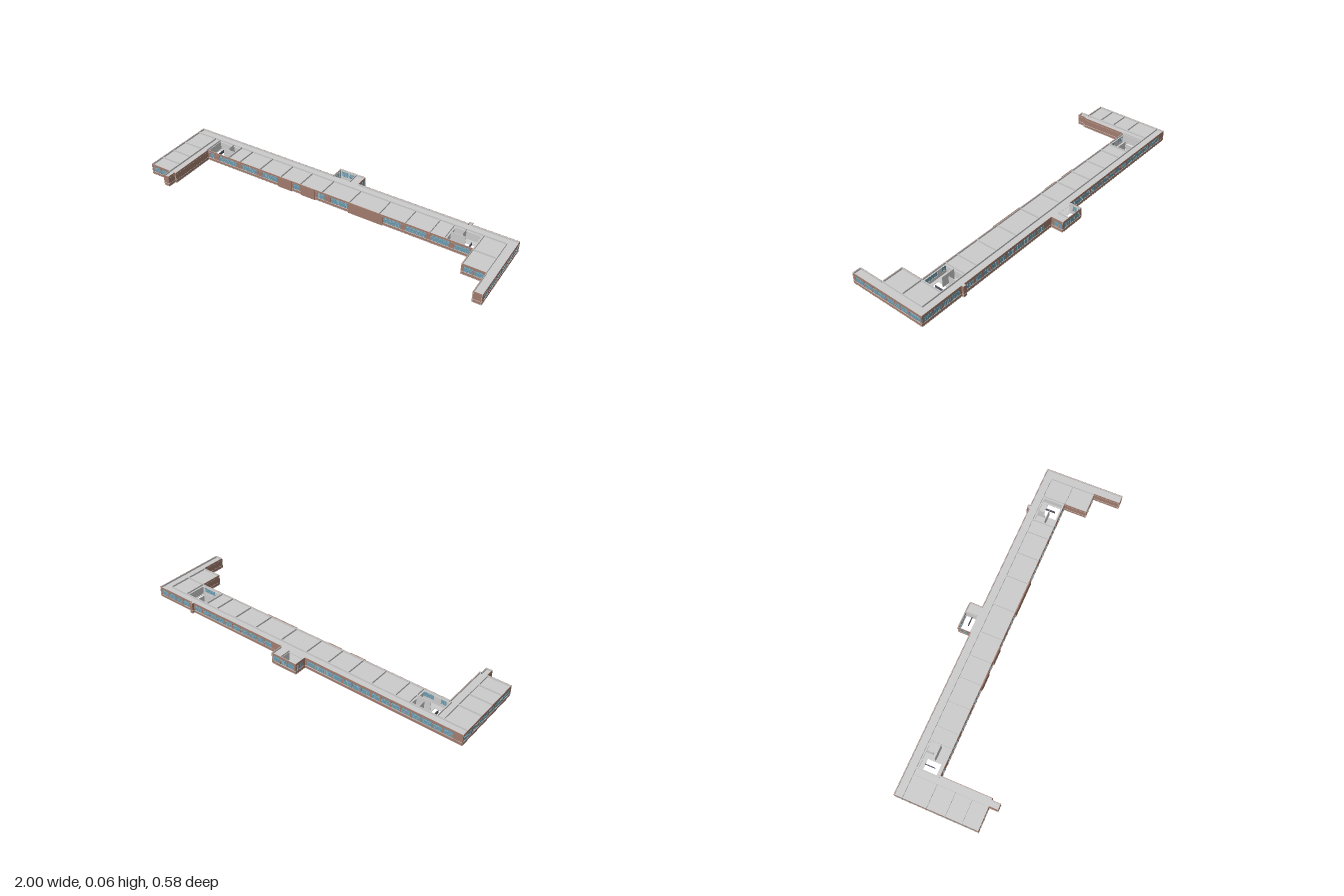
import * as THREE from 'three';
import { mergeGeometries } from 'three/addons/utils/BufferGeometryUtils.js';

const H = 0.065, SILL = 0.02, HEAD = 0.053, T = 0.004;

// Outline of the storey, counter-clockwise seen from above: [x, z]
const OUTLINE = [
  [-1, 0.24], [-0.87, 0.24], [-0.87, 0.288], [-0.835, 0.288], [-0.835, 0.24], [-0.825, 0.24],
  [-0.825, -0.04], [0.825, -0.04], [0.825, 0.09], [0.95, 0.09], [0.95, 0.24], [1, 0.24],
  [1, -0.215], [0.745, -0.215], [0.745, -0.228], [0.725, -0.228], [0.725, -0.215],
  [0.08, -0.215], [0.08, -0.288], [-0.08, -0.288], [-0.08, -0.215], [-1, -0.215],
];

// Evenly pitched windows between two distances along a wall
function row(from, to, pitch, width) {
  const list = [];
  for (let s = from; s + width <= to + 1e-6; s += pitch) list.push([s, s + width]);
  return list;
}

// Windows of each wall, keyed by the wall's index in the outline
const SIDE = [[0.02, 0.07], [0.08, 0.13], [0.135, 0.165], [0.17, 0.22], [0.23, 0.28],
  [0.285, 0.315], [0.32, 0.37], [0.38, 0.447]];
const FRONT = [[-0.81, -0.78], [-0.74, -0.62], [-0.58, -0.48], [-0.44, -0.34], [-0.23, -0.19],
  [-0.07, -0.03], [0.01, 0.11], [0.33, 0.43], [0.46, 0.57], [0.6, 0.7], [0.73, 0.81]];
const WINDOWS = {
  0: [[0.015, 0.06], [0.067, 0.115]],
  6: FRONT.map(([a, b]) => [a + 0.825, b + 0.825]),
  8: [[0.015, 0.06], [0.07, 0.115]],
  11: SIDE,
  12: row(0.015, 0.245, 0.058, 0.05),
  16: row(0.012, 0.635, 0.0575, 0.05),
  17: [[0.02, 0.045], [0.052, 0.066]],
  18: row(0.012, 0.155, 0.048, 0.04),
  19: [[0.007, 0.021], [0.028, 0.053]],
  20: row(0.012, 0.91, 0.0575, 0.05),
  21: SIDE.map(([a, b]) => [0.455 - b, 0.455 - a]),
};

function rectPath(Type, x0, y0, x1, y1) {
  return new Type([[x0, y0], [x1, y0], [x1, y1], [x0, y1]].map((p) => new THREE.Vector2(...p)));
}

export function createModel() {
  const model = new THREE.Group();
  const parts = {};
  const add = (name, geometry, matrix) => {
    const g = geometry.index ? geometry.toNonIndexed() : geometry;
    if (matrix) g.applyMatrix4(matrix);
    (parts[name] ||= []).push(g);
  };
  const box = (name, x0, y0, z0, x1, y1, z1, matrix) => {
    const g = new THREE.BoxGeometry(x1 - x0, y1 - y0, z1 - z0);
    g.translate((x0 + x1) / 2, (y0 + y1) / 2, (z0 + z1) / 2);
    add(name, g, matrix);
  };

  // Outer wall: brick skin, grey lining, trim bands and glazed openings
  function wall([ax, az], [bx, bz], windows) {
    const len = Math.hypot(bx - ax, bz - az);
    const m = new THREE.Matrix4().makeRotationY(Math.atan2(az - bz, bx - ax)).setPosition(ax, 0, az);
    const shape = rectPath(THREE.Shape, 0, 0, len, H);
    for (const [a, b] of windows) shape.holes.push(rectPath(THREE.Path, a, SILL, b, HEAD));
    for (const [name, z] of [['brickWalls', -T / 2], ['wallLining', -T]]) {
      const g = new THREE.ExtrudeGeometry(shape, { depth: T / 2, bevelEnabled: false });
      add(name, g.translate(0, 0, z), m);
    }
    box('trimBands', 0, 0.0175, -0.001, len, 0.0195, 0.0008, m);
    box('trimBands', 0, 0.002, -0.001, len, 0.0035, 0.0008, m);
    for (const [a, b] of windows) {
      box('windowGlass', a, SILL, -0.0025, b, HEAD, -0.0015, m);
      const n = Math.max(2, Math.round((b - a) / 0.01));
      for (let i = 0; i <= n; i++) {
        const x = a + 0.0004 + (b - a - 0.0008) * i / n;
        box('windowFrames', x - 0.0004, SILL, -0.003, x + 0.0004, HEAD, -0.0008, m);
      }
      for (const y of [SILL, 0.044, HEAD - 0.0008])
        box('windowFrames', a, y, -0.003, b, y + 0.0008, -0.0009, m);
    }
  }
  OUTLINE.forEach((p, i) => wall(p, OUTLINE[(i + 1) % OUTLINE.length], WINDOWS[i] || []));

  // Slightly projecting brick panels on the long front
  for (const [a, b] of [[-0.33, -0.24], [-0.18, -0.09], [0.12, 0.325]])
    box('brickPanels', a, 0, -0.041, b, H, -0.036);

  // Floor and ceilings, pierced by the stairwells (x0, z0, x1, z1)
  function slab(name, y, depth, holes) {
    const inset = 0.0005;
    const shape = new THREE.Shape(OUTLINE.map(([x, z]) => new THREE.Vector2(x * (1 - inset), -z * (1 - inset))));
    for (const [x0, z0, x1, z1] of holes) shape.holes.push(rectPath(THREE.Path, x0, -z1, x1, -z0));
    const g = new THREE.ExtrudeGeometry(shape, { depth, bevelEnabled: false });
    add(name, g.rotateX(-Math.PI / 2).translate(0, y, 0));
  }
  const entry = [-0.075, -0.283, 0.02, -0.219];
  slab('floorSlab', 0.0005, 0.0025, [[-0.83, -0.145, -0.765, -0.07], [0.745, -0.135, 0.82, -0.06], entry]);
  slab('ceilings', 0.054, 0.001, [[-0.83, -0.16, -0.69, -0.05], [0.68, -0.16, 0.82, -0.05], entry]);

  // Inner partitions, along x and along z
  const alongX = (x0, x1, z) => box('partitions', x0, 0.003, z - 0.0015, x1, H, z + 0.0015);
  const alongZ = (x, z0, z1) => box('partitions', x - 0.0015, 0.003, z0, x + 0.0015, H, z1);
  alongX(-0.87, 0.95, -0.17);
  alongZ(-0.87, -0.17, 0.24);
  alongZ(0.95, -0.17, 0.09);
  for (const x of [-0.835, -0.68, -0.6, -0.46, -0.32, -0.19, -0.05, 0.12, 0.3, 0.45, 0.59, 0.67, 0.83])
    alongZ(x, -0.17, -0.042);
  for (const z of [-0.17, -0.04, 0.06, 0.15]) alongX(-0.998, -0.87, z);
  alongX(0.83, 0.95, -0.04);
  alongZ(0.024, -0.284, -0.215);
  for (const s of [-1, 1]) {
    alongX(Math.min(s * 0.68, s * 0.76), Math.max(s * 0.68, s * 0.76), -0.105);
    alongZ(s * 0.735, -0.17, -0.125);
  }

  // Guard rails in the open wells
  box('guardRails', -0.797, 0.003, -0.145, -0.794, 0.02, -0.09);
  box('guardRails', 0.782, 0.003, -0.135, 0.785, 0.02, -0.08);
  box('guardRails', -0.03, 0.003, -0.252, 0.02, 0.02, -0.249);

  const colors = {
    brickWalls: 0xa27c6e, brickPanels: 0xa27c6e, trimBands: 0xd8cfc8,
    windowGlass: 0x6a9cb0, windowFrames: 0xa9c0ca, guardRails: 0x555566,
  };
  for (const [name, list] of Object.entries(parts)) {
    const material = new THREE.MeshStandardMaterial({ color: colors[name] ?? 0xcccccc });
    const mesh = new THREE.Mesh(mergeGeometries(list), material);
    mesh.name = name;
    model.add(mesh);
  }
  return model;
}
